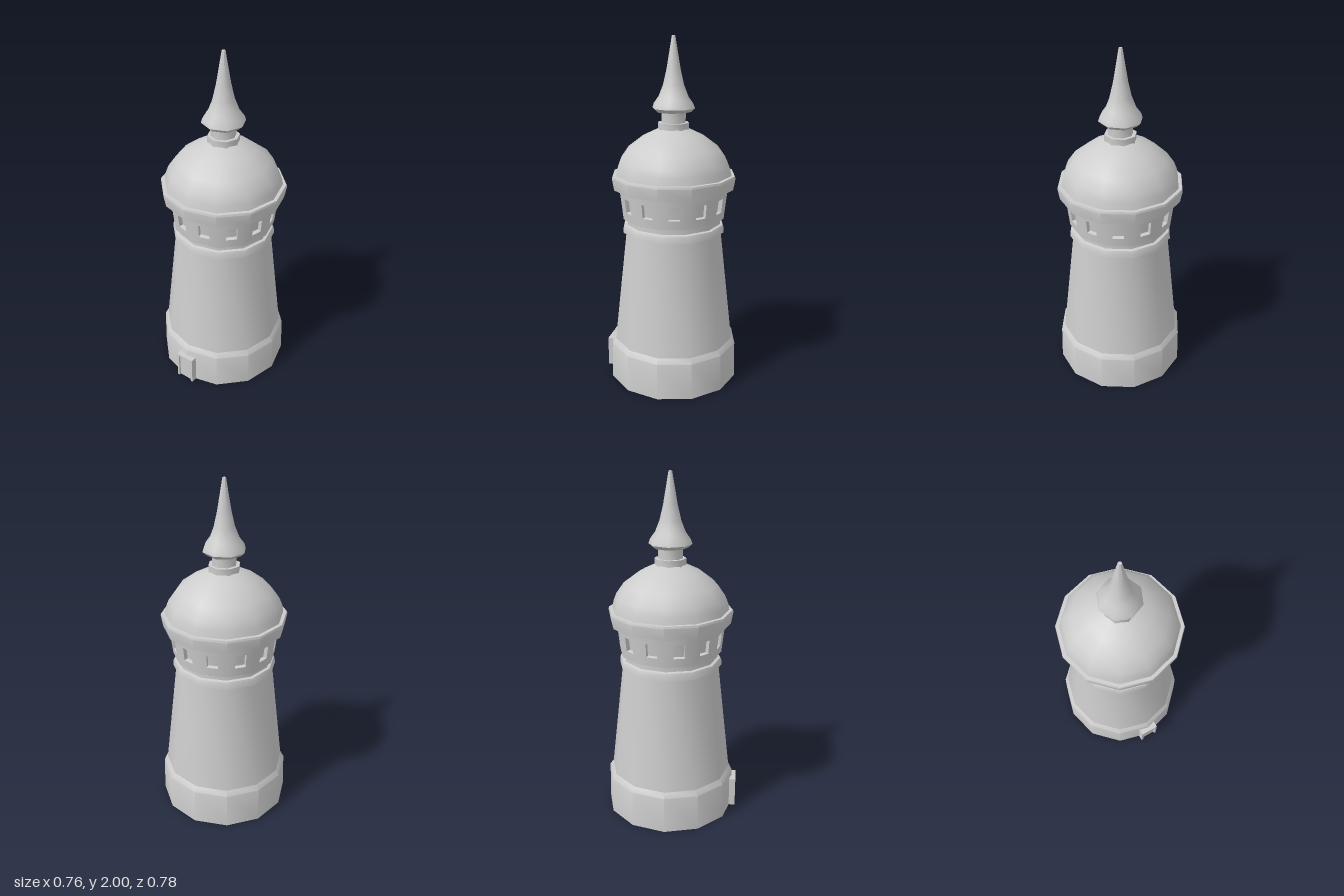
import * as THREE from 'three';
import { toCreasedNormals } from 'three/addons/utils/BufferGeometryUtils.js';

const stone = new THREE.MeshStandardMaterial({ color: 0xcccccc, side: THREE.DoubleSide });
stone.name = 'pale grey';

const SIDES = 12;
const AXIS_Z = -0.01; // the door projects forward, so the tower sits slightly back

// Turned part from [radius, height] pairs, smooth around and sharp at mouldings
function turned(name, profile, sides = SIDES, crease = 0.62) {
  const points = profile.map(([r, y]) => new THREE.Vector2(r, y));
  const mesh = new THREE.Mesh(toCreasedNormals(new THREE.LatheGeometry(points, sides), crease), stone);
  mesh.name = name;
  return mesh;
}

// Rectangle path, centred on x
function rect(path, w, y0, y1) {
  path.moveTo(-w, y0);
  path.lineTo(w, y0);
  path.lineTo(w, y1);
  path.lineTo(-w, y1);
  path.closePath();
  return path;
}

// One flared gallery wall panel with a window opening
function galleryPanelGeometry(r0, r1, height, depth) {
  const half = Math.PI / SIDES;
  const w0 = r0 * Math.sin(half), w1 = r1 * Math.sin(half);
  const rise = Math.hypot(height, (r1 - r0) * Math.cos(half));
  const shape = new THREE.Shape();
  shape.moveTo(-w0, 0);
  shape.lineTo(w0, 0);
  shape.lineTo(w1, rise);
  shape.lineTo(-w1, rise);
  shape.closePath();
  shape.holes.push(rect(new THREE.Path(), 0.031, 0.05, 0.13));
  const geo = new THREE.ExtrudeGeometry(shape, { depth, bevelEnabled: false });
  geo.translate(0, 0, -depth);
  // Bend the outer normals so neighbouring panels shade as one round wall
  const p = geo.attributes.position, n = geo.attributes.normal, v = new THREE.Vector3();
  for (let i = 0; i < p.count; i++) {
    if (n.getZ(i) < 0.9) continue;
    v.set(p.getX(i), 0, r0 * Math.cos(half)).normalize();
    n.setXYZ(i, v.x, v.y, v.z);
  }
  return geo;
}

function createGallery() {
  const gallery = new THREE.Group();
  gallery.name = 'windowGallery';
  const r0 = 0.295, r1 = 0.315, y0 = 0.985, y1 = 1.16, depth = 0.025;
  const half = Math.PI / SIDES;
  const geo = galleryPanelGeometry(r0, r1, y1 - y0, depth);
  for (let i = 0; i < SIDES; i++) {
    const side = new THREE.Group();
    side.rotation.y = half * (2 * i + 1);
    const panel = new THREE.Mesh(geo, stone);
    panel.name = 'windowPanel';
    panel.position.set(0, y0, r0 * Math.cos(half));
    panel.rotation.x = Math.atan2((r1 - r0) * Math.cos(half), y1 - y0);
    side.add(panel);
    gallery.add(side);
  }
  // Wall behind the window recesses
  gallery.add(turned('recessWall', [[r0 - 0.025, y0], [r1 - 0.025, y1]]));
  return gallery;
}

function createDoor() {
  const door = new THREE.Group();
  door.name = 'door';
  const shape = new THREE.Shape();
  [[-0.057, 0], [-0.044, 0], [-0.044, 0.165], [0.044, 0.165], [0.044, 0], [0.057, 0], [0.057, 0.177], [-0.057, 0.177]]
    .forEach(([x, y], i) => (i ? shape.lineTo(x, y) : shape.moveTo(x, y)));
  const frame = new THREE.Mesh(new THREE.ExtrudeGeometry(shape, { depth: 0.06, bevelEnabled: false }), stone);
  frame.name = 'doorFrame';
  frame.position.z = 0.332;
  const leaf = new THREE.Mesh(new THREE.BoxGeometry(0.088, 0.165, 0.02), stone);
  leaf.name = 'doorLeaf';
  leaf.position.set(0, 0.0825, 0.37);
  door.add(frame, leaf);
  return door;
}

export function createModel() {
  const model = new THREE.Group();
  model.name = 'tower';

  const body = new THREE.Group();
  body.name = 'towerBody';
  body.position.z = AXIS_Z;
  body.add(
    turned('base', [[0.382, 0], [0.377, 0.215], [0.355, 0.245]]),
    turned('shaft', [[0.356, 0.245], [0.28, 0.905]]),
    turned('stringCourse', [[0.278, 0.905], [0.298, 0.905], [0.296, 0.935], [0.29, 0.948], [0.272, 0.952]]),
    turned('neck', [[0.274, 0.95], [0.274, 0.985], [0.295, 0.985]]),
    createGallery(),
    turned('cornice', [[0.31, 1.157], [0.346, 1.157], [0.358, 1.225], [0.354, 1.237], [0.33, 1.238]]),
    turned('dome', [[0.335, 1.235], [0.327, 1.275], [0.31, 1.318], [0.265, 1.382], [0.175, 1.45], [0.085, 1.493], [0, 1.505]]),
    // Eight-sided finial
    turned('finialCollar', [[0.09, 1.485], [0.09, 1.527], [0.07, 1.527]], 8, 0.85),
    turned('finialNeck', [[0.07, 1.525], [0.07, 1.592]], 8, 0.85),
    turned('finialSpire', [[0, 1.587], [0.1, 1.587], [0.122, 1.607], [0.114, 1.632], [0.085, 1.672], [0.06, 1.735],
      [0.04, 1.82], [0.01, 1.997], [0, 2]], 8, 0.85),
  );

  model.add(body, createDoor());
  return model;
}
